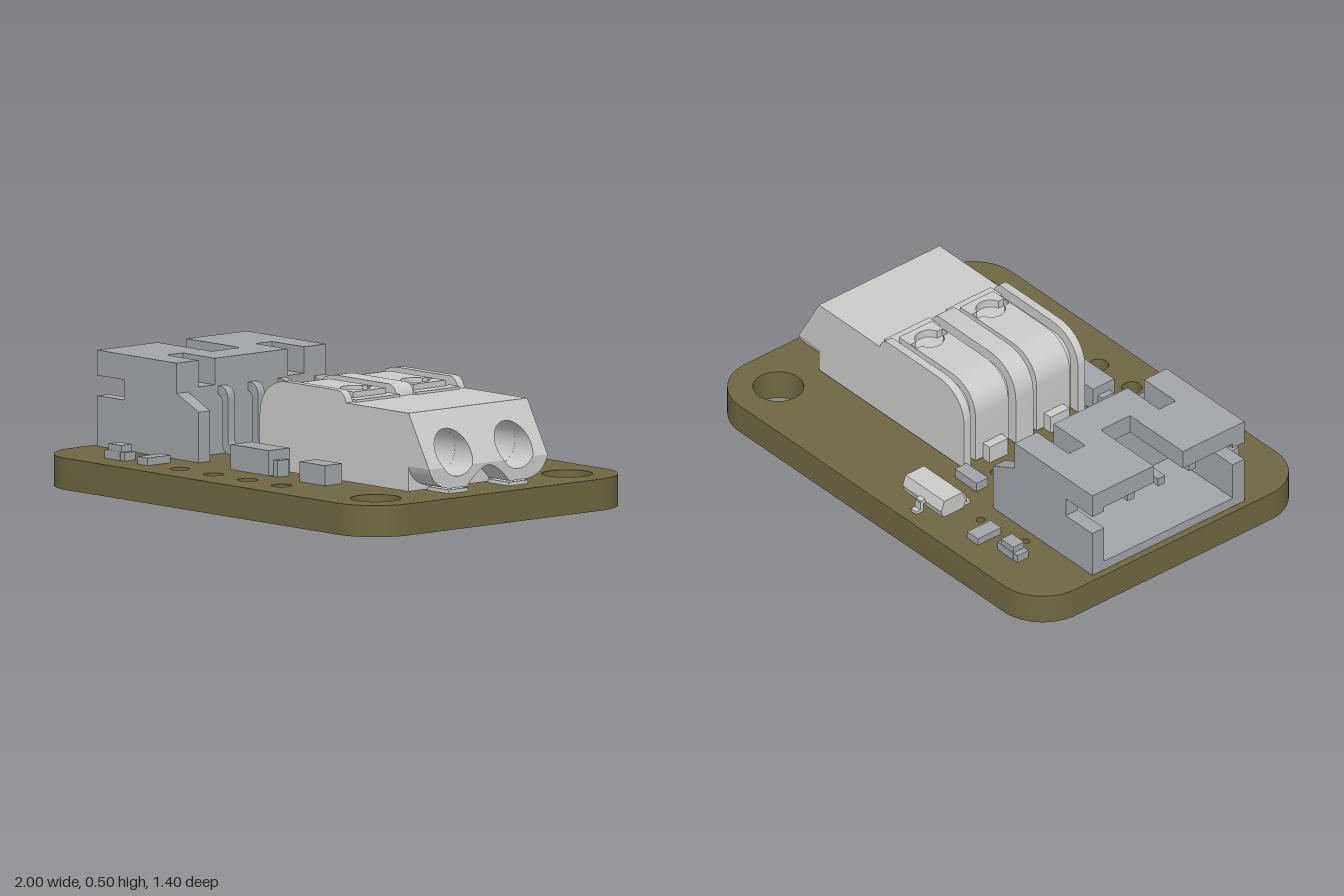
import * as THREE from 'three';
import { toCreasedNormals } from 'three/addons/utils/BufferGeometryUtils.js';

const mat = (name, color) => Object.assign(new THREE.MeshStandardMaterial({ color }), { name });

export function createModel() {
  const root = new THREE.Group();
  const olive = mat('boardOlive', 0x6e6642);
  const grey = mat('partGrey', 0xa0a5a9);
  const light = mat('terminalLightGrey', 0xcacac8);

  // ---------- helpers ----------
  const add = (name, geo, m, parent = root) => {
    const mesh = new THREE.Mesh(geo, m);
    mesh.name = name;
    parent.add(mesh);
    return mesh;
  };
  const group = (name) => {
    const g = new THREE.Group();
    g.name = name;
    root.add(g);
    return g;
  };
  const box = (name, m, parent, x0, x1, y0, y1, z0, z1) => {
    const g = new THREE.BoxGeometry(x1 - x0, y1 - y0, z1 - z0);
    g.translate((x0 + x1) / 2, (y0 + y1) / 2, (z0 + z1) / 2);
    return add(name, g, m, parent);
  };
  const poly = (pts) => new THREE.Shape(pts.map(([x, y]) => new THREE.Vector2(x, y)));
  const extrude = (shape, depth) =>
    new THREE.ExtrudeGeometry(shape, { depth, bevelEnabled: false, curveSegments: 14 });
  const alongZ = (shape, z0, z1) => toCreasedNormals(extrude(shape, z1 - z0).translate(0, 0, z0), 0.5);
  // plan shapes are drawn as (x, -z)
  const alongY = (shape, y0, y1) =>
    toCreasedNormals(extrude(shape, y1 - y0).rotateX(-Math.PI / 2).translate(0, y0, 0), 0.5);
  // end shapes are drawn as (z, y), symmetric in z
  const alongX = (shape, x0, x1) => extrude(shape, x1 - x0).rotateY(Math.PI / 2).translate(x0, 0, 0);
  const circle = (x, y, r) => new THREE.Path().absarc(x, y, r, 0, Math.PI * 2, true);

  // ---------- circuit board ----------
  const T = 0.125;
  const plan = new THREE.Shape();
  plan.absarc(0.8, 0.5, 0.2, 0, Math.PI / 2);
  plan.absarc(-0.8, 0.5, 0.2, Math.PI / 2, Math.PI);
  plan.absarc(-0.8, -0.5, 0.2, Math.PI, Math.PI * 1.5);
  plan.absarc(0.8, -0.5, 0.2, Math.PI * 1.5, Math.PI * 2);
  const drill = (r, list) => list.forEach(([x, z]) => plan.holes.push(circle(x, -z, r)));
  drill(0.1, [[0.8, 0.5], [0.8, -0.5]]);
  drill(0.04, [-0.3, -0.1, 0.1, 0.3].map((x) => [x, 0.55]));
  drill(0.038, [-0.2, 0, 0.2].map((z) => [-0.78, z]));
  drill(0.017, [[-0.625, -0.44], [-0.4, -0.48], [-0.19, -0.23], [-0.175, 0.035],
    [-0.01, 0.335], [-0.47, 0.34], [0.38, -0.15]]);
  add('board', alongY(plan, 0, T), olive);

  // ---------- screw terminal ----------
  const terminal = group('terminalBlock');
  const W = 0.31, HZ = 0.157, HY = 0.28, HR = 0.09;
  // side profile of the raised rear, inset by o
  const rear = (o, end, drop) => {
    const s = new THREE.Shape();
    s.moveTo(-0.1 + o, 0.13);
    s.lineTo(-0.1 + o, 0.34);
    s.bezierCurveTo(-0.1 + o, 0.43 - o, -0.03, 0.485 - o, 0.06, 0.485 - o);
    s.lineTo(end - (drop ? 0.045 : 0), 0.485 - o);
    if (drop) s.quadraticCurveTo(end - 0.01, 0.48 - o, end, 0.438);
    s.lineTo(end, 0.13);
    return s;
  };
  add('terminalCore', alongZ(rear(0.045, 0.62, false), -0.3, 0.3), light, terminal);
  add('centreRidge', alongZ(rear(0, 0.41, true), -0.045, 0.045), light, terminal);

  const middle = poly([[-W, 0.13], [W, 0.13], [W, 0.44], [-W, 0.44]]);
  middle.holes.push(circle(-HZ, HY, HR), circle(HZ, HY, HR));
  add('terminalFront', toCreasedNormals(alongX(middle, 0.408, 0.778), 0.5), light, terminal);

  // sloping nose in two bands that share the wire openings
  const split = 0.23, a = Math.asin((HY - split) / HR), c = HR * Math.cos(a);
  const upper = new THREE.Shape();
  upper.moveTo(-W, split);
  for (const z of [-HZ, HZ]) {
    upper.lineTo(z - c, split);
    upper.absarc(z, HY, HR, Math.PI + a, -a, true);
  }
  upper.lineTo(W, split);
  upper.lineTo(W, 0.44);
  upper.lineTo(-W, 0.44);
  const upperGeo = alongX(upper, 0.778, 0.9);
  const p = upperGeo.attributes.position;
  for (let i = 0; i < p.count; i++) {
    if (p.getX(i) > 0.85) p.setX(i, 0.9 - (p.getY(i) - split) * 0.575);
  }
  add('noseSlope', toCreasedNormals(upperGeo, 0.5), light, terminal);

  const lower = new THREE.Shape();
  lower.moveTo(-W, split);
  lower.quadraticCurveTo(-0.29, 0.155, -0.2, 0.145);
  lower.lineTo(-0.11, 0.145);
  lower.quadraticCurveTo(-0.05, 0.215, 0, 0.22);
  lower.quadraticCurveTo(0.05, 0.215, 0.11, 0.145);
  lower.lineTo(0.2, 0.145);
  lower.quadraticCurveTo(0.29, 0.155, W, split);
  for (const z of [HZ, -HZ]) {
    lower.lineTo(z + c, split);
    lower.absarc(z, HY, HR, -a, a - Math.PI, true);
  }
  add('noseScallops', toCreasedNormals(alongX(lower, 0.778, 0.9), 0.5), light, terminal);

  for (const s of [-1, 1]) {
    const zc = s * HZ;
    const span = (d) => [zc - d, zc + d];
    const [r0, r1] = s > 0 ? [0.275, W] : [-W, -0.275];
    add('outerRidge', alongZ(rear(0, 0.41, true), r0, r1), light, terminal);
    add('lever', alongZ(rear(0.012, 0.2, false), ...span(0.085)), light, terminal);
    // screw seat with a slotted round opening
    const seat = poly([[0.2, -zc - 0.085], [0.375, -zc - 0.085], [0.375, -zc + 0.085], [0.2, -zc + 0.085]]);
    const slot = new THREE.Path();
    const q = Math.acos(0.018 / 0.058);
    slot.absarc(0.29, -zc, 0.058, -q, q);
    slot.lineTo(0.308, -zc + 0.08);
    slot.lineTo(0.272, -zc + 0.08);
    slot.absarc(0.29, -zc, 0.058, Math.PI - q, Math.PI + q);
    slot.lineTo(0.272, -zc - 0.08);
    slot.lineTo(0.308, -zc - 0.08);
    seat.holes.push(slot);
    add('screwSeat', alongY(seat, 0.43, 0.473), light, terminal);
    box('seatLedge', light, terminal, 0.36, 0.425, 0.43, 0.45, ...span(0.115));
    box('rearTab', light, terminal, -0.13, -0.09, T, 0.2, ...span(0.048));
    box('solderPad', light, terminal, 0.57, 0.9, T, 0.14, ...span(0.05));
  }

  // ---------- plug socket ----------
  const socket = group('plugSocket');
  const sideWall = poly([[-0.97, T], [-0.37, T], [-0.37, 0.325], [-0.5, 0.385], [-0.5, 0.505],
    [-0.97, 0.505], [-0.97, 0.405], [-0.81, 0.405], [-0.81, 0.325], [-0.97, 0.325]]);
  add('leftWall', alongZ(sideWall, 0.33, 0.39), grey, socket);
  add('rightWall', alongZ(sideWall, -0.39, -0.33), grey, socket);
  box('socketFloor', grey, socket, -0.97, -0.5, T, 0.165, -0.33, 0.33);
  const roof = poly([[-0.97, -0.33], [-0.5, -0.33], [-0.5, -0.275], [-0.69, -0.275], [-0.69, -0.19],
    [-0.5, -0.19], [-0.5, 0.19], [-0.69, 0.19], [-0.69, 0.275], [-0.5, 0.275], [-0.5, 0.33],
    [-0.97, 0.33], [-0.97, 0.075], [-0.65, 0.075], [-0.65, -0.075], [-0.97, -0.075]]);
  add('socketRoof', alongY(roof, 0.425, 0.505), grey, socket);
  const back = poly([[-0.33, 0.165], [0.33, 0.165], [0.33, 0.425], [0.275, 0.425], [0.275, 0.4],
    [0.19, 0.4], [0.19, 0.425], [-0.19, 0.425], [-0.19, 0.4], [-0.275, 0.4], [-0.275, 0.425], [-0.33, 0.425]]);
  add('socketBack', alongX(back, -0.6, -0.5), grey, socket);

  // bent contact pins
  const pin = new THREE.Shape();
  pin.moveTo(-0.93, 0.395);
  pin.lineTo(-0.93, 0.36);
  pin.lineTo(-0.5, 0.36);
  pin.quadraticCurveTo(-0.475, 0.36, -0.475, 0.33);
  pin.lineTo(-0.475, 0.18);
  pin.quadraticCurveTo(-0.475, 0.13, -0.43, 0.13);
  pin.lineTo(-0.295, 0.13);
  pin.lineTo(-0.295, 0.165);
  pin.lineTo(-0.42, 0.165);
  pin.quadraticCurveTo(-0.44, 0.165, -0.44, 0.19);
  pin.lineTo(-0.44, 0.34);
  pin.quadraticCurveTo(-0.44, 0.395, -0.49, 0.395);
  for (const z of [-HZ, 0, HZ]) add('contactPin', alongZ(pin, z - 0.018, z + 0.018), grey, socket);

  // ---------- small surface parts ----------
  const small = group('surfaceParts');
  const chip = poly([[0.49, 0.14], [0.595, 0.14], [0.605, 0.17], [0.59, 0.215], [0.495, 0.215], [0.48, 0.17]]);
  add('transistorBody', alongX(chip, -0.31, -0.075), light, small);
  for (const [x, z, d] of [[-0.195, -0.595, -1], [-0.27, -0.49, 1], [-0.12, -0.49, 1]]) {
    const part = (name, y0, y1, n, f) => box(name, light, small, x - 0.016, x + 0.016, y0, y1,
      Math.min(z + d * n, z + d * f), Math.max(z + d * n, z + d * f));
    part('leadShoulder', 0.16, 0.178, -0.01, 0.03);
    part('leadDrop', T, 0.17, 0.018, 0.034);
    part('leadFoot', T, 0.138, 0.03, 0.055);
  }
  box('diodeBody', grey, small, -0.125, 0.1, 0.13, 0.23, 0.33, 0.44);
  box('diodeLeads', grey, small, -0.15, 0.125, T, 0.19, 0.355, 0.415);
  box('capacitor', grey, small, 0.27, 0.42, T, 0.205, 0.34, 0.43);
  box('rearCapacitor', grey, small, -0.245, -0.115, T, 0.165, -0.37, -0.31);
  box('frontResistor', grey, small, -0.505, -0.445, T, 0.155, 0.47, 0.59);
  box('rearResistor', grey, small, -0.525, -0.46, T, 0.155, -0.6, -0.48);
  for (const z of [0.55, -0.53]) {
    box('lampBase', grey, small, -0.69, -0.62, T, 0.16, z - 0.03, z + 0.03);
    box('lampLens', grey, small, -0.69, -0.615, 0.155, 0.185, z - 0.028, z + 0.028);
    for (const x of [-0.715, -0.62]) box('lampEnd', grey, small, x, x + 0.025, T, 0.158, z - 0.028, z + 0.028);
  }
  return root;
}
